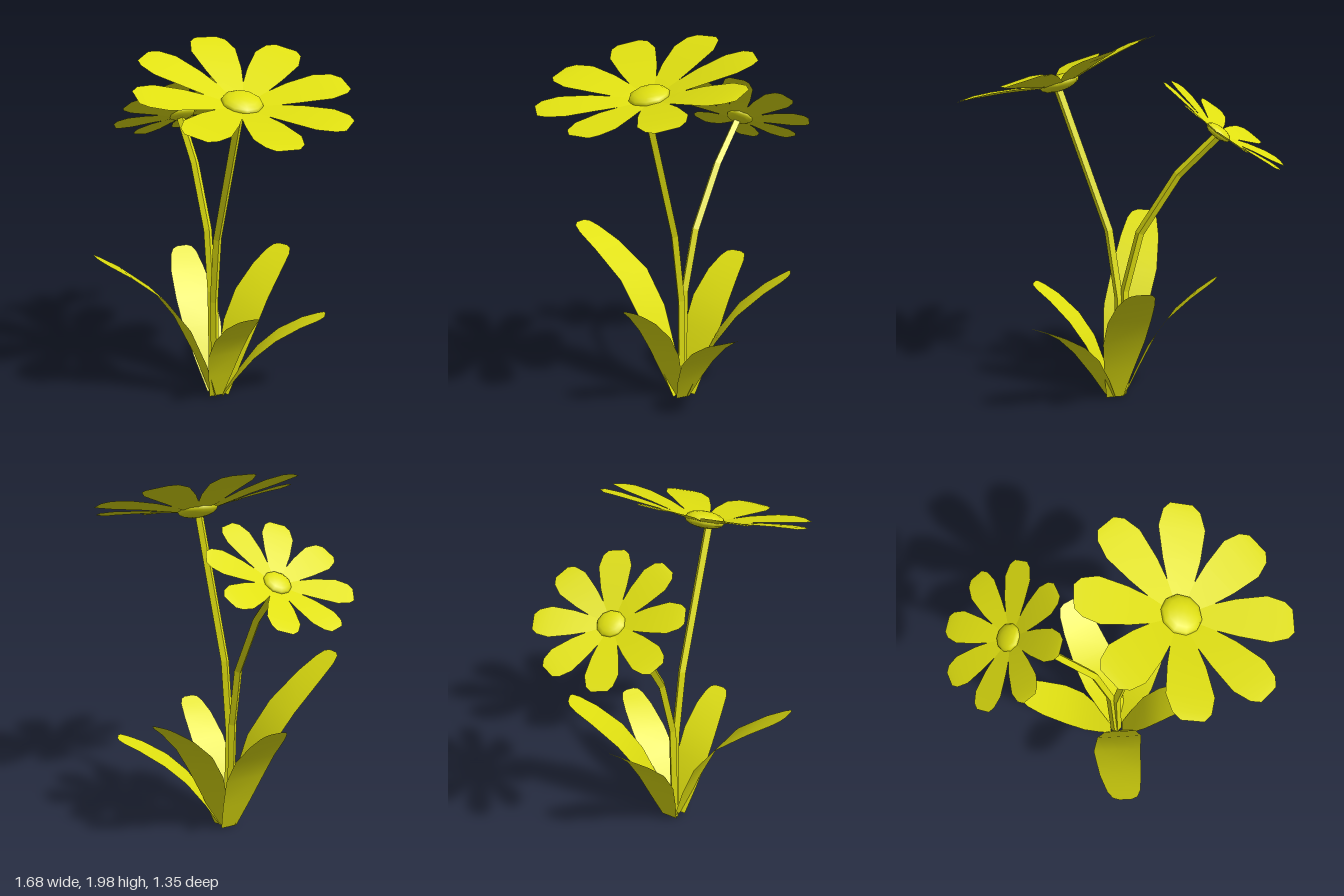
import * as THREE from 'three';

// Surface through rows of points; each row is a cross-section
function loft(rows, closed = false) {
  const n = rows[0].length, pos = rows.flat().flatMap(p => [p.x, p.y, p.z]), index = [];
  for (let i = 0; i < rows.length - 1; i++) {
    for (let j = 0; j < (closed ? n : n - 1); j++) {
      const k = (j + 1) % n;
      const a = i * n + j, b = i * n + k, c = a + n, d = b + n;
      index.push(a, c, b, b, c, d);
    }
  }
  const g = new THREE.BufferGeometry();
  g.setAttribute('position', new THREE.Float32BufferAttribute(pos, 3));
  g.setIndex(index);
  g.computeVertexNormals();
  return g;
}

const V = (x, y, z) => new THREE.Vector3(x, y, z);

export function createModel() {
  const model = new THREE.Group();
  const yellow = new THREE.MeshStandardMaterial({ color: 0xe0e010, side: THREE.DoubleSide });
  yellow.name = 'yellow';
  const add = (parent, name, geometry) => {
    const m = new THREE.Mesh(geometry, yellow);
    m.name = name;
    parent.add(m);
    return m;
  };

  // Petal: narrow root, wide shoulder, blunt tip, rising slightly outwards
  const petal = loft([
    [0.07, 0.045, 0.01], [0.28, 0.1, 0.055], [0.44, 0.125, 0.08], [0.53, 0.1, 0.09], [0.57, 0.06, 0.09],
  ].map(([r, w, y]) => [V(r, y, -w), V(r, y, w)]));

  // Flower head: eight petals round a flattened centre
  function flower(name, centre, normal, size, turn) {
    const head = new THREE.Group();
    head.name = name;
    for (let i = 0; i < 8; i++) {
      add(head, 'petal', petal).rotation.y = -THREE.MathUtils.degToRad(turn + i * 45);
    }
    const disc = add(head, 'flowerCentre', new THREE.SphereGeometry(0.11, 10, 8));
    disc.scale.y = 0.4;
    disc.position.y = 0.015;
    head.position.copy(centre);
    head.quaternion.setFromUnitVectors(V(0, 1, 0), normal.normalize());
    head.scale.setScalar(size);
    model.add(head);
  }
  flower('tallFlower', V(0.3, 1.71, 0.11), V(0.31, 1, 0.15), 1, -17);
  flower('shortFlower', V(-0.45, 1.485, -0.285), V(-0.67, 1, -0.23), 0.68, -86);

  // Stems: four-sided, bent in a few places
  function stem(name, points) {
    const rows = points.map((p, i) => {
      const dir = points[Math.min(i + 1, points.length - 1)].clone()
        .sub(points[Math.max(i - 1, 0)]).normalize();
      const q = new THREE.Quaternion().setFromUnitVectors(V(0, 1, 0), dir);
      return [0, 1, 2, 3].map(k => {
        const a = k * Math.PI / 2 + 0.5;
        return V(Math.cos(a) * 0.024, 0, Math.sin(a) * 0.024).applyQuaternion(q).add(p);
      });
    });
    const g = loft(rows, true).toNonIndexed();
    g.computeVertexNormals();
    add(model, name, g);
  }
  stem('tallStem', [V(0.02, 0, -0.02), V(0.01, 0.55, -0.015), V(0.06, 0.93, 0.015), V(0.315, 1.71, 0.135)]);
  stem('shortStem', [V(0, 0, -0.02), V(-0.02, 0.6, -0.03), V(-0.09, 0.93, -0.08),
    V(-0.27, 1.26, -0.18), V(-0.47, 1.49, -0.28)]);

  // Leaves: flat blades arching outwards with rounded tips
  const blade = [[0, 0.4], [0.2, 0.7], [0.42, 0.97], [0.62, 1], [0.82, 0.86], [0.94, 0.68], [0.985, 0.5], [1, 0.25]];
  function leaf(name, width, points) {
    const curve = new THREE.CatmullRomCurve3(points);
    const out = points[points.length - 1].clone().sub(points[0]);
    const side = V(-out.z, 0, out.x).normalize();
    add(model, name, loft(blade.map(([t, w]) => {
      const p = curve.getPointAt(t);
      return [-1, 1].map(s => p.clone().addScaledVector(side, s * w * width));
    })));
  }
  leaf('frontLeaf', 0.13, [V(0.015, 0, 0), V(-0.04, 0.36, 0.12), V(-0.13, 0.6, 0.24), V(-0.2, 0.75, 0.39), V(-0.28, 0.905, 0.6)]);
  leaf('backLeaf', 0.118, [V(0.04, 0, -0.05), V(0.03, 0.3, -0.18), V(0.025, 0.55, -0.36), V(0.03, 0.74, -0.61)]);
  leaf('rightBackLeaf', 0.118, [V(-0.01, 0, -0.05), V(-0.2, 0.42, -0.13), V(-0.34, 0.59, -0.2), V(-0.46, 0.71, -0.28)]);
  leaf('leftFrontLeaf', 0.1, [V(0.04, 0, 0), V(0.17, 0.33, 0.07), V(0.3, 0.5, 0.13), V(0.44, 0.615, 0.2)]);
  leaf('leftBackLeaf', 0.1, [V(0.06, 0, -0.03), V(0.2, 0.25, -0.12), V(0.35, 0.41, -0.23), V(0.53, 0.51, -0.34)]);

  return model;
}
